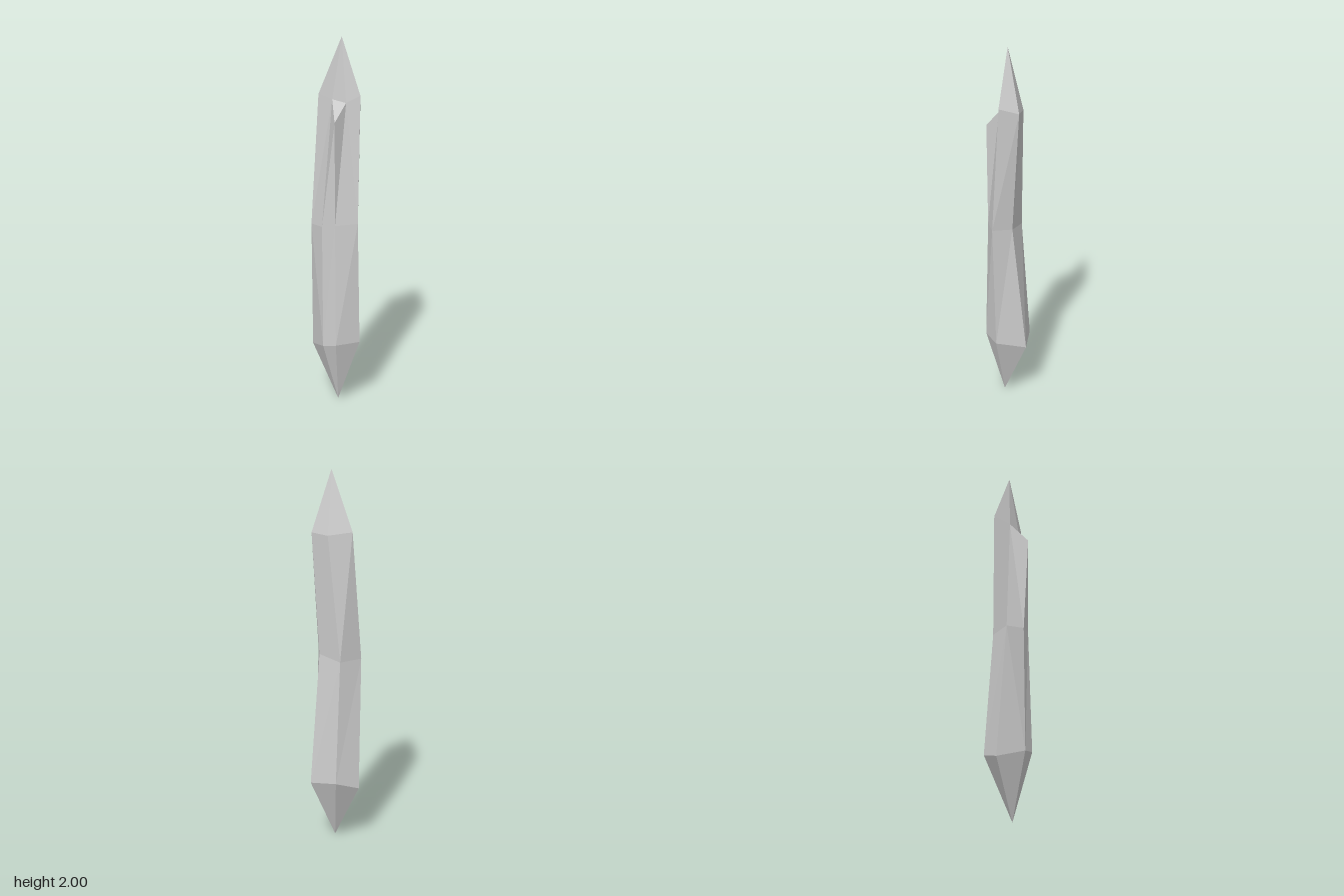
import * as THREE from 'three';

export function createModel() {
  const group = new THREE.Group();
  const v = (x, y, z) => new THREE.Vector3(x, y, z);

  // Irregular six-sided rings, counter-clockwise from the model's right side
  const upper = [
    v(-0.12, 1.69, -0.02), v(-0.022, 1.68, 0.025), v(0.06, 1.67, 0.035),
    v(0.13, 1.71, 0.015), v(0.09, 1.68, -0.08), v(-0.005, 1.67, -0.075),
  ];
  const middle = [
    v(-0.127, 1.01, 0.06), v(-0.04, 1.02, 0.115), v(0.03, 1.03, 0.105),
    v(0.135, 1.04, 0.05), v(0.07, 1.03, -0.04), v(-0.066, 1.005, -0.052),
  ];
  const lower = [
    v(-0.145, 0.3, 0.012), v(-0.035, 0.345, 0.117), v(0.04, 0.36, 0.118),
    v(0.14, 0.365, 0.03), v(0.077, 0.33, -0.12), v(-0.07, 0.345, -0.1),
  ];
  const topTip = v(0.02, 2, 0);
  const bottomTip = v(0.01, 0, 0.02);
  const spur = v(0.03, 1.58, 0.11);

  const points = [];
  const tri = (a, b, c) => points.push(a, b, c);

  // Four-cornered facet split along the chosen diagonal
  const facet = (tl, tr, bl, br, falling) => {
    if (falling) { tri(tl, bl, br); tri(tl, br, tr); }
    else { tri(tl, bl, tr); tri(tr, bl, br); }
  };

  const upperFalling = [false, false, true, false, false, false];
  const lowerFalling = [true, false, false, false, false, false];
  for (let i = 0; i < 6; i++) {
    const j = (i + 1) % 6;
    tri(topTip, upper[i], upper[j]);
    if (i === 1) {
      // Raised spur that breaks the front facet
      tri(upper[i], spur, upper[j]);
      tri(upper[i], middle[i], spur);
      tri(middle[i], middle[j], spur);
      tri(spur, middle[j], upper[j]);
    } else {
      facet(upper[i], upper[j], middle[i], middle[j], upperFalling[i]);
    }
    facet(middle[i], middle[j], lower[i], lower[j], lowerFalling[i]);
    tri(bottomTip, lower[j], lower[i]);
  }

  const geometry = new THREE.BufferGeometry().setFromPoints(points);
  geometry.computeVertexNormals();
  const crystal = new THREE.Mesh(
    geometry,
    new THREE.MeshStandardMaterial({ color: 0xcccccc, flatShading: true })
  );
  crystal.name = 'crystalShard';
  group.add(crystal);
  return group;
}
